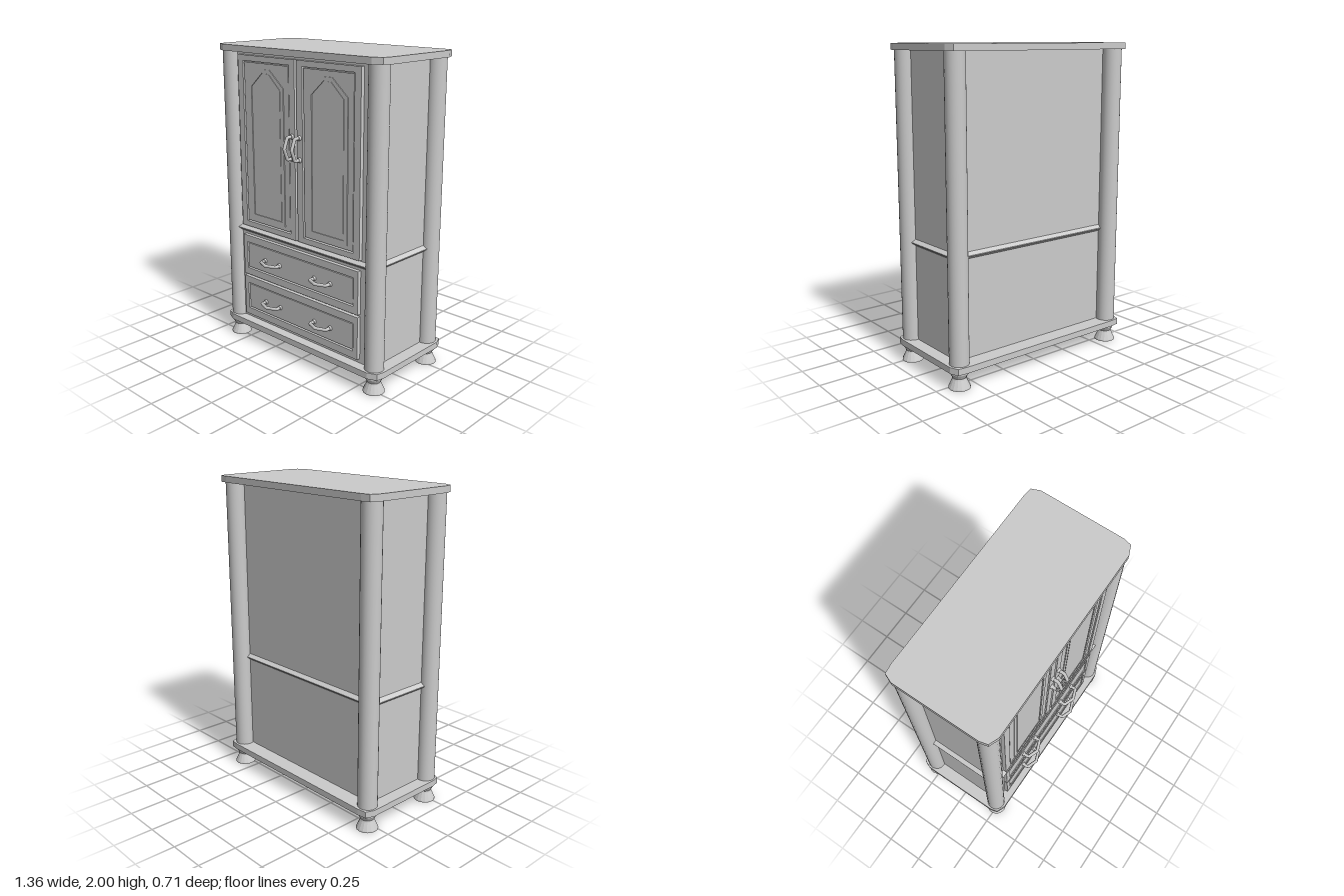
import * as THREE from 'three';

const grey = new THREE.MeshStandardMaterial({ color: 0xcccccc });
const flat = new THREE.MeshStandardMaterial({ color: 0xcccccc, flatShading: true });
const open = new THREE.MeshStandardMaterial({ color: 0xcccccc, flatShading: true, side: THREE.DoubleSide });

function add(parent, name, geometry, x = 0, y = 0, z = 0, material = flat) {
  const mesh = new THREE.Mesh(geometry, material);
  mesh.name = name;
  mesh.position.set(x, y, z);
  parent.add(mesh);
  return mesh;
}

const points = (list) => list.map(([x, y]) => new THREE.Vector2(x, y));
const rect = (w, h) => points([[-w / 2, -h / 2], [w / 2, -h / 2], [w / 2, h / 2], [-w / 2, h / 2]]);
const extrude = (shape, depth) => new THREE.ExtrudeGeometry(shape, { depth, bevelEnabled: false });

// Flat frame between two outlines
function frame(outer, inner, depth) {
  const shape = new THREE.Shape(outer);
  shape.holes.push(new THREE.Path(inner));
  return extrude(shape, depth);
}

// Top and bottom boards with clipped corners
function slab() {
  const right = [[0.61, -0.315], [0.67, -0.29], [0.682, -0.24], [0.682, 0.3], [0.66, 0.353], [0.6, 0.36]];
  const left = right.map(([x, y]) => [-x, y]).reverse();
  return extrude(new THREE.Shape(points([...right, ...left])), 0.04).rotateX(-Math.PI / 2);
}

// Triangular trim rail, running along x and pointing to +z
function rail(length) {
  const shape = new THREE.Shape(points([[-0.02, 0.768], [0, 0.768], [0.027, 0.788], [0.027, 0.793], [0, 0.81], [-0.02, 0.81]]));
  return extrude(shape, length).translate(0, 0, -length / 2).rotateY(-Math.PI / 2);
}

// Pointed-top panel outline, inset by d
function arch(d) {
  const w = 0.155 - d, c = 0.035 - d * 0.3;
  return points([[-w, 0.89 + d], [w, 0.89 + d], [w, 1.76 - d * 0.4], [c, 1.862 - d * 0.8],
    [-c, 1.862 - d * 0.8], [-w, 1.76 - d * 0.4]]);
}

// Bent pull running along x
function handle(name) {
  const group = new THREE.Group();
  group.name = name;
  const path = new THREE.CurvePath();
  const p = [[-0.068, -0.01], [-0.068, 0.042], [0, 0.068], [0.068, 0.042], [0.068, -0.01]]
    .map(([x, z]) => new THREE.Vector3(x, 0, z));
  for (let i = 1; i < p.length; i++) path.add(new THREE.LineCurve3(p[i - 1], p[i]));
  add(group, 'grip', new THREE.TubeGeometry(path, 48, 0.011, 8), 0, 0, 0, grey);
  for (const x of [-0.068, 0.068]) {
    add(group, 'rosette', new THREE.CylinderGeometry(0.014, 0.017, 0.02, 12).rotateX(Math.PI / 2), x, 0, 0.005, grey);
  }
  return group;
}

// Framed front with a panel set in a narrow groove
function framedFront(name, w, h, iw, ih) {
  const group = new THREE.Group();
  group.name = name;
  add(group, 'frame', frame(rect(w, h), rect(iw, ih), 0.025));
  add(group, 'panel', new THREE.BoxGeometry(iw - 0.016, ih - 0.016, 0.02), 0, 0, 0.01);
  return group;
}

export function createModel() {
  const model = new THREE.Group();
  model.name = 'wardrobe';

  // Carcass and boards
  add(model, 'cabinetBody', new THREE.BoxGeometry(1.2, 1.81, 0.505), 0, 1.055, -0.0025);
  add(model, 'bottomBoard', slab(), 0, 0.11, 0);
  add(model, 'topBoard', slab(), 0, 1.96, 0);

  // Corner posts and turned, hollow feet
  const footProfile = points([[0.068, 0], [0.067, 0.008], [0.045, 0.056], [0.042, 0.066], [0.056, 0.092], [0.058, 0.112]]);
  for (const x of [-0.61, 0.606]) {
    for (const z of [0.24, -0.285]) {
      add(model, 'cornerPost', new THREE.CylinderGeometry(0.061, 0.061, 1.82, 24), x, 1.055, z, grey);
      add(model, 'foot', new THREE.LatheGeometry(footProfile, 16), x, 0, z, open);
    }
  }

  // Trim rail around the waist
  add(model, 'frontRail', rail(1.13), 0, 0, 0.25);
  add(model, 'backRail', rail(1.12), 0, 0, -0.255).rotation.y = Math.PI;
  for (const s of [-1, 1]) {
    add(model, 'sideRail', rail(0.43), s * 0.6, 0, -0.025).rotation.y = s * Math.PI / 2;
  }

  // Doors with arched moulding and upright pulls
  for (const [s, x] of [[-1, -0.266], [1, 0.256]]) {
    const door = framedFront(s < 0 ? 'rightDoor' : 'leftDoor', 0.505, 1.12, 0.41, 1.05);
    door.position.set(x, 1.38, 0.25);
    add(door, 'archMoulding', frame(arch(0), arch(0.025), 0.01), 0, -1.38, 0.015);
    add(door, 'archPanel', extrude(new THREE.Shape(arch(0.033)), 0.008), 0, -1.38, 0.015);
    const pull = handle('doorHandle');
    pull.rotation.z = Math.PI / 2;
    pull.position.set(s < 0 ? 0.23 : -0.229, 0.032, 0.025);
    door.add(pull);
    model.add(door);
  }

  // Drawers with two pulls each
  for (const y of [0.318, 0.612]) {
    const drawer = framedFront('drawer', 1.015, 0.278, 0.945, 0.184);
    drawer.position.set(-0.007, y, 0.25);
    for (const x of [-0.235, 0.212]) {
      const pull = handle('drawerHandle');
      pull.position.set(x, -0.003, 0.018);
      drawer.add(pull);
    }
    model.add(drawer);
  }
  return model;
}
